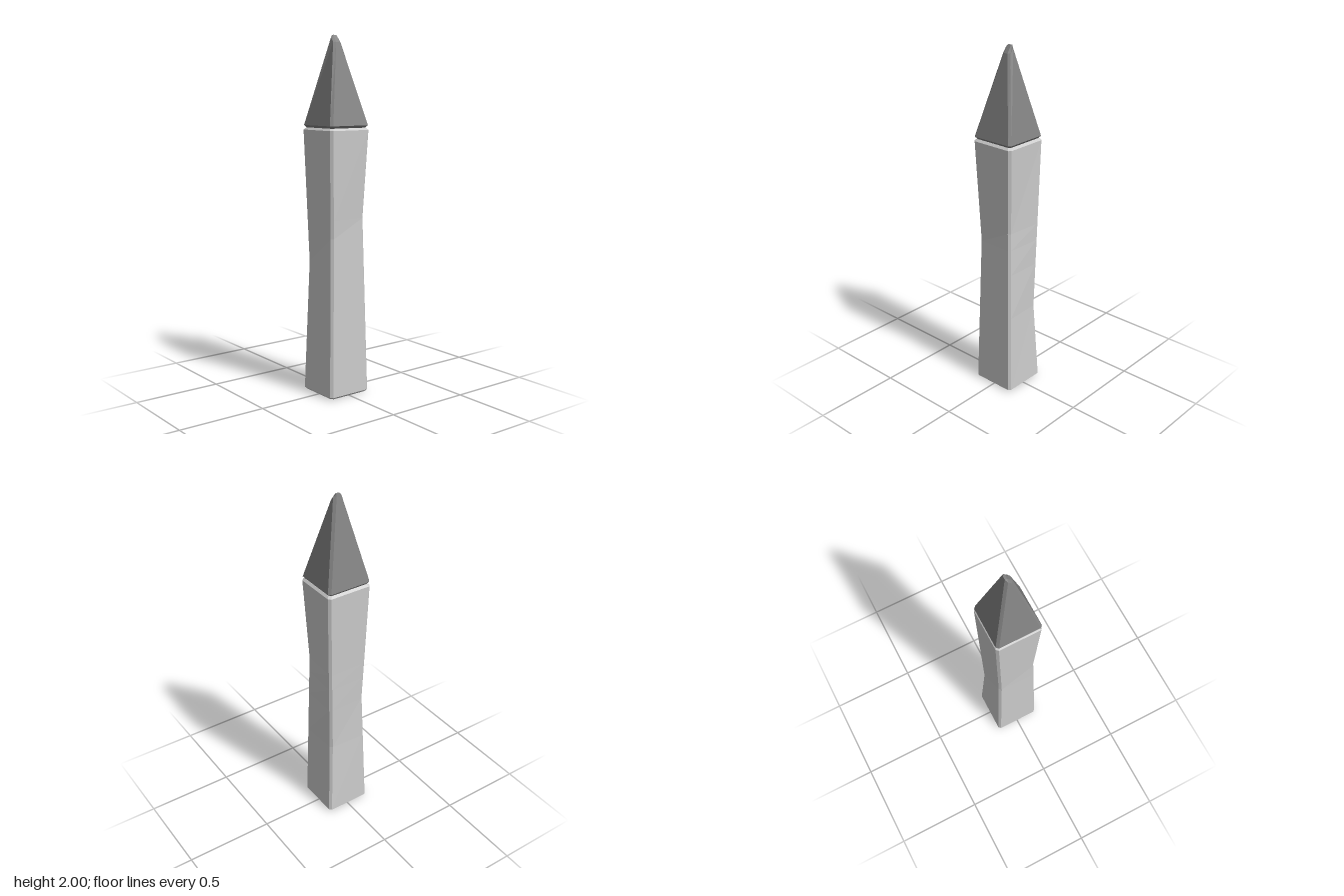
import * as THREE from 'three';

// corners of the square section, counter-clockwise seen from above
const CORNERS = [[1, 1], [1, -1], [-1, -1], [-1, 1]];

// square section with cut corners; half(k) gives the half width at corner k
function ring(y, half, cut) {
  return CORNERS.flatMap(([sx, sz], k) => {
    const h = half(k);
    const a = [sx * (h - cut), y, sz * h];
    const b = [sx * h, y, sz * (h - cut)];
    return sx * sz > 0 ? [a, b] : [b, a];
  });
}

// faceted skin through a stack of rings, closed at both ends
function loft(name, rings, color) {
  const pos = [];
  const tri = (a, b, c) => pos.push(...a, ...b, ...c);
  const n = rings[0].length;
  for (let r = 0; r < rings.length - 1; r++) {
    const lo = rings[r], hi = rings[r + 1];
    for (let i = 0; i < n; i++) {
      const j = (i + 1) % n;
      tri(lo[i], lo[j], hi[j]);
      tri(lo[i], hi[j], hi[i]);
    }
  }
  const bottom = rings[0], top = rings[rings.length - 1];
  for (let i = 1; i < n - 1; i++) {
    tri(bottom[0], bottom[i + 1], bottom[i]);
    tri(top[0], top[i], top[i + 1]);
  }
  const geo = new THREE.BufferGeometry();
  geo.setAttribute('position', new THREE.Float32BufferAttribute(pos, 3));
  geo.computeVertexNormals();
  const mesh = new THREE.Mesh(geo, new THREE.MeshStandardMaterial({ color, flatShading: true }));
  mesh.name = name;
  return mesh;
}

export function createModel() {
  const group = new THREE.Group();
  group.name = 'stake';

  // post: each corner edge is pinched inwards at its own height
  const W = 0.133, CUT = 0.013, LOW = 0.012, HIGH = 1.488, DEPTH = 0.022;
  const pinch = [0.9, 1.0, 0.48, 0.75];
  const halfAt = y => k => {
    const p = pinch[k];
    const t = y < p ? (y - LOW) / (p - LOW) : (HIGH - y) / (HIGH - p);
    return W - DEPTH * t;
  };
  const heights = [LOW, ...[...pinch].sort((a, b) => a - b), HIGH];
  group.add(loft('post', [
    ring(0, () => W - 0.012, CUT),
    ...heights.map(y => ring(y, halfAt(y), CUT)),
    ring(1.5, () => W - 0.012, CUT),
  ], 0xcccccc));

  // point: bevelled base, then a pyramid with a lopsided blunt end
  const shoulder = [
    [0.008, 1.96, 0.025], [0.018, 1.96, 0.012], [0.018, 1.96, -0.012], [0.008, 1.96, -0.025],
    [-0.012, 1.985, -0.025], [-0.024, 1.985, -0.012], [-0.024, 1.985, 0.012], [-0.012, 1.985, 0.025],
  ];
  const crown = shoulder.map(([x, , z]) => [x > 0 ? -0.01 : -0.021, 2, Math.sign(z) * 0.011]);
  group.add(loft('point', [
    ring(1.5, () => 0.12, CUT),
    ring(1.513, () => 0.131, CUT),
    shoulder,
    crown,
  ], 0x828282));

  return group;
}
